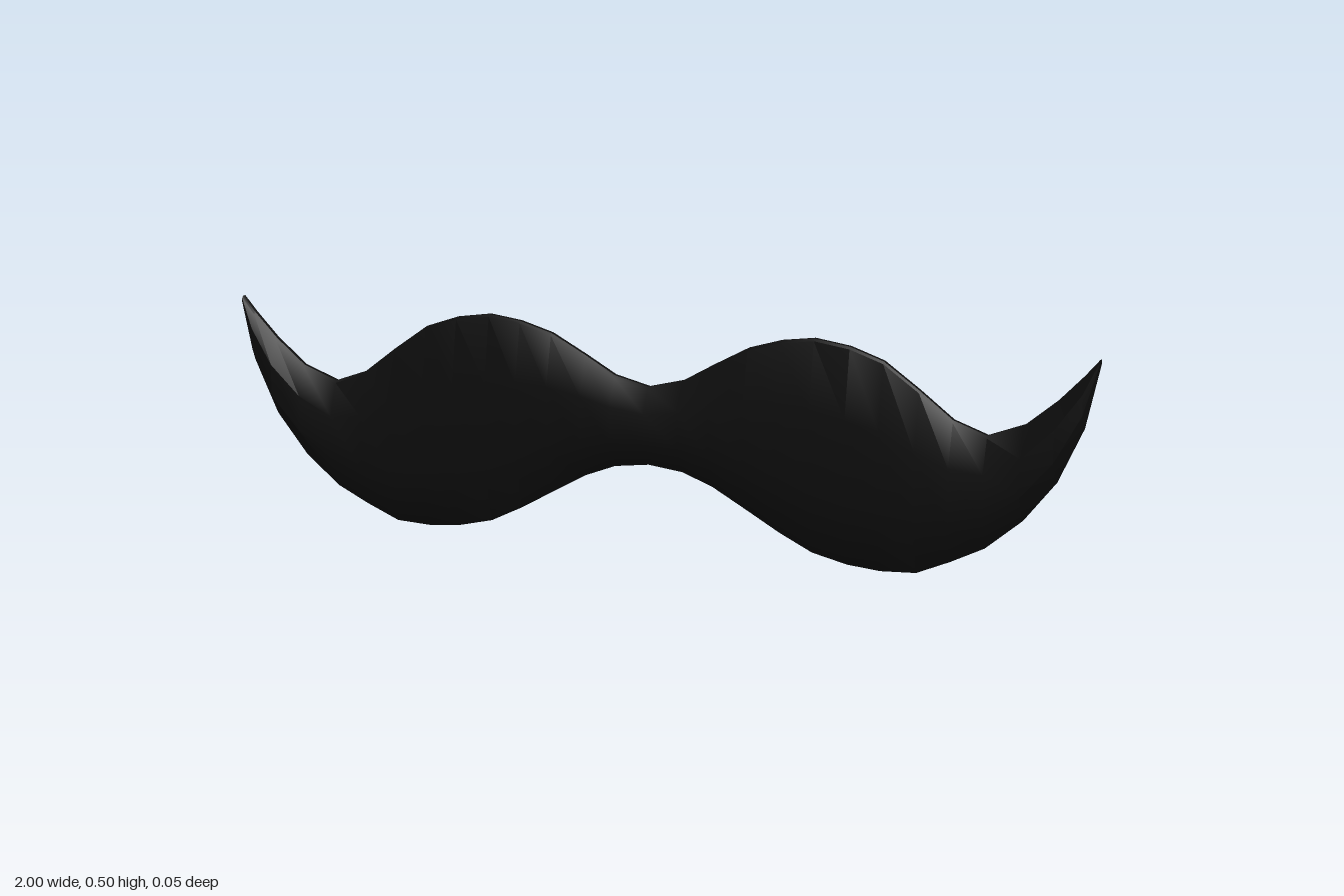
import * as THREE from 'three';
import { toCreasedNormals } from 'three/addons/utils/BufferGeometryUtils.js';

// Half outline: x, lower edge, upper edge, front height
const HALF = [
  [0, 0.19, 0.365, 0.025], [0.08, 0.18, 0.385, 0.025], [0.15, 0.153, 0.425, 0.025],
  [0.23, 0.108, 0.468, 0.025], [0.305, 0.065, 0.49, 0.025], [0.38, 0.028, 0.5, 0.025],
  [0.46, 0.009, 0.488, 0.025], [0.535, 0.002, 0.462, 0.025], [0.615, 0.006, 0.405, 0.025],
  [0.69, 0.038, 0.347, 0.025], [0.765, 0.075, 0.32, 0.025], [0.845, 0.142, 0.35, 0.025],
  [0.915, 0.23, 0.408, 0.025], [0.97, 0.35, 0.465, 0.01], [1, 0.485, 0.5, -0.002],
];

// Cross-section from the flat back, round the lower rim, over the front and down the upper rim
function section([x, low, high, front]) {
  const b = 0.005;
  const at = (t) => low + (high - low) * t;
  return [
    [low + b, -0.023], [low, -0.018], [low, -0.008], [low + b, -0.003],
    [at(0.28), front], [at(0.68), front],
    [high - b, -0.003], [high, -0.008], [high, -0.018], [high - b, -0.023],
  ].map(([y, z]) => [x, y, z]);
}

function moustacheGeometry() {
  const mirrored = HALF.slice(1).reverse().map(([x, ...rest]) => [-x, ...rest]);
  const rings = [...mirrored, ...HALF].map(section);
  const n = rings[0].length, last = (rings.length - 1) * n;
  const index = [];
  for (let i = 0; i < rings.length - 1; i++) {
    for (let j = 0; j < n; j++) {
      const a = i * n + j, b = i * n + (j + 1) % n;
      index.push(a, a + n, b, a + n, b + n, b);
    }
  }
  // Close both pointed tips
  for (let j = 1; j < n - 1; j++) {
    index.push(0, j, j + 1, last, last + j + 1, last + j);
  }
  const geometry = new THREE.BufferGeometry();
  geometry.setAttribute('position', new THREE.Float32BufferAttribute(rings.flat(2), 3));
  geometry.setIndex(index);
  return toCreasedNormals(geometry, 0.6);
}

export function createModel() {
  const black = new THREE.MeshStandardMaterial({ color: 0x0d0d0d });
  black.name = 'black';
  const moustache = new THREE.Mesh(moustacheGeometry(), black);
  moustache.name = 'moustache';
  const group = new THREE.Group();
  group.name = 'moustacheModel';
  group.add(moustache);
  return group;
}
